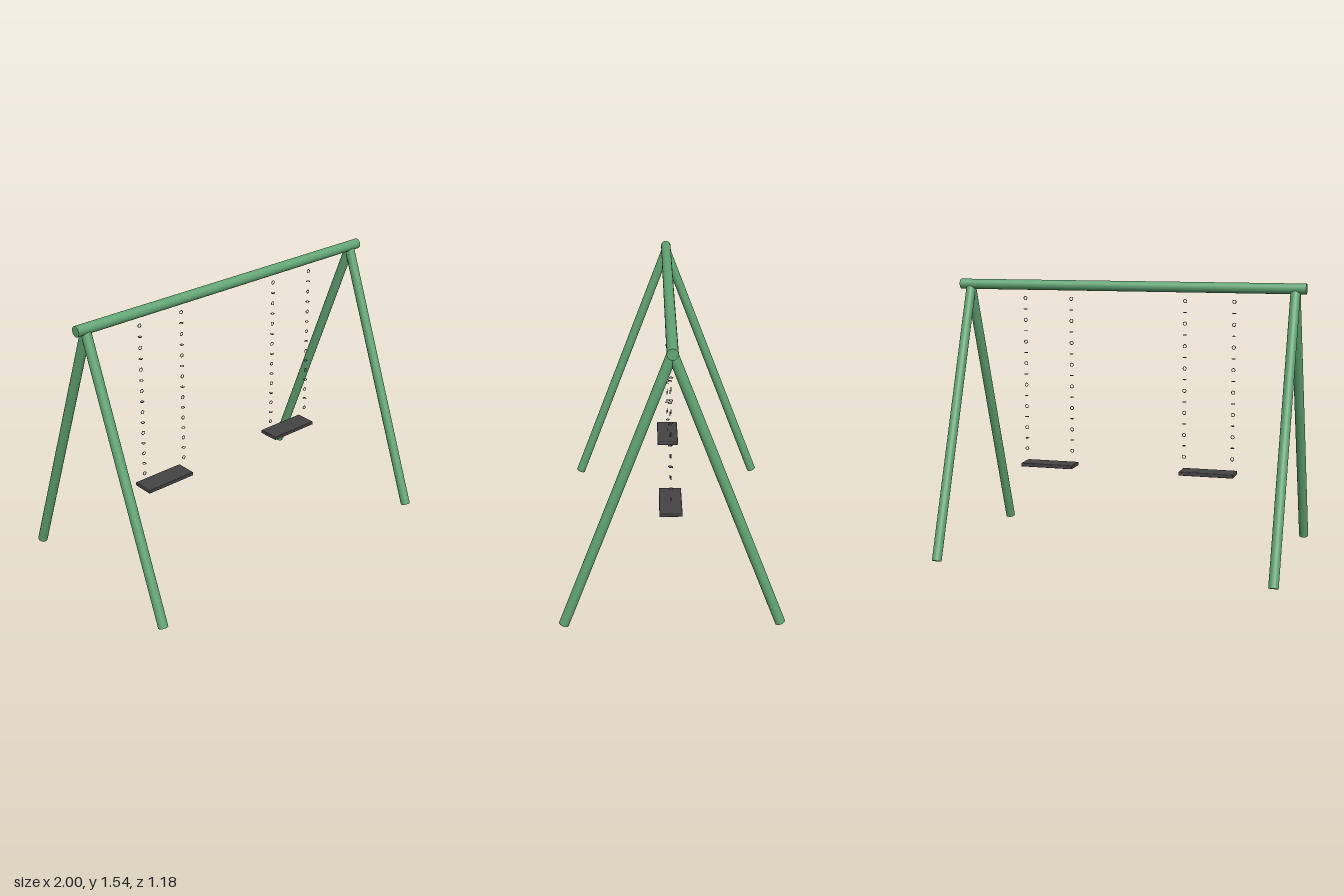
import * as THREE from 'three';
import { RoundedBoxGeometry } from 'three/addons/geometries/RoundedBoxGeometry.js';

const paint = new THREE.MeshStandardMaterial({ name: 'green paint', color: 0x62a574 });
const rubber = new THREE.MeshStandardMaterial({ name: 'dark rubber', color: 0x444444 });
const steel = new THREE.MeshStandardMaterial({ name: 'chain steel', color: 0x5a6270 });

// Round pole running between two points
function pole(name, from, to, radius) {
  const dir = to.clone().sub(from);
  const mesh = new THREE.Mesh(new THREE.CylinderGeometry(radius, radius, dir.length(), 24), paint);
  mesh.position.copy(from).add(to).multiplyScalar(0.5);
  mesh.quaternion.setFromUnitVectors(new THREE.Vector3(0, 1, 0), dir.normalize());
  mesh.name = name;
  return mesh;
}

// Separate rings, alternately upright and lying flat
function chain(name, x) {
  const group = new THREE.Group();
  group.name = name;
  const ring = new THREE.TorusGeometry(0.0095, 0.0019, 8, 20);
  for (let i = 0; i < 15; i++) {
    const link = new THREE.Mesh(ring, steel);
    link.name = 'chainLink';
    link.position.set(x, 1.4365 - i * 0.0625, 0);
    if (i % 2) link.rotation.x = Math.PI / 2;
    group.add(link);
  }
  return group;
}

export function createModel() {
  const model = new THREE.Group();
  model.name = 'swingSet';
  const v = (x, y, z) => new THREE.Vector3(x, y, z);

  // Top beam
  model.add(pole('topBeam', v(-1, 1.513, 0), v(1, 1.513, 0), 0.029));

  for (const side of [-1, 1]) {
    const label = side > 0 ? 'left' : 'right';

    // A-frame legs
    for (const end of [-1, 1]) {
      const name = label + (end > 0 ? 'FrontLeg' : 'BackLeg');
      model.add(pole(name, v(side * 0.94, 0.0095, end * 0.563), v(side * 0.94, 1.5, 0), 0.027));
    }

    // Swing with its seat and two chains
    const swing = new THREE.Group();
    swing.name = label + 'Swing';
    swing.position.x = side * 0.469;
    const seat = new THREE.Mesh(new RoundedBoxGeometry(0.31, 0.021, 0.123, 2, 0.004), rubber);
    seat.name = 'seat';
    seat.position.y = 0.475;
    swing.add(seat, chain('leftChain', 0.138), chain('rightChain', -0.138));
    model.add(swing);
  }
  return model;
}
